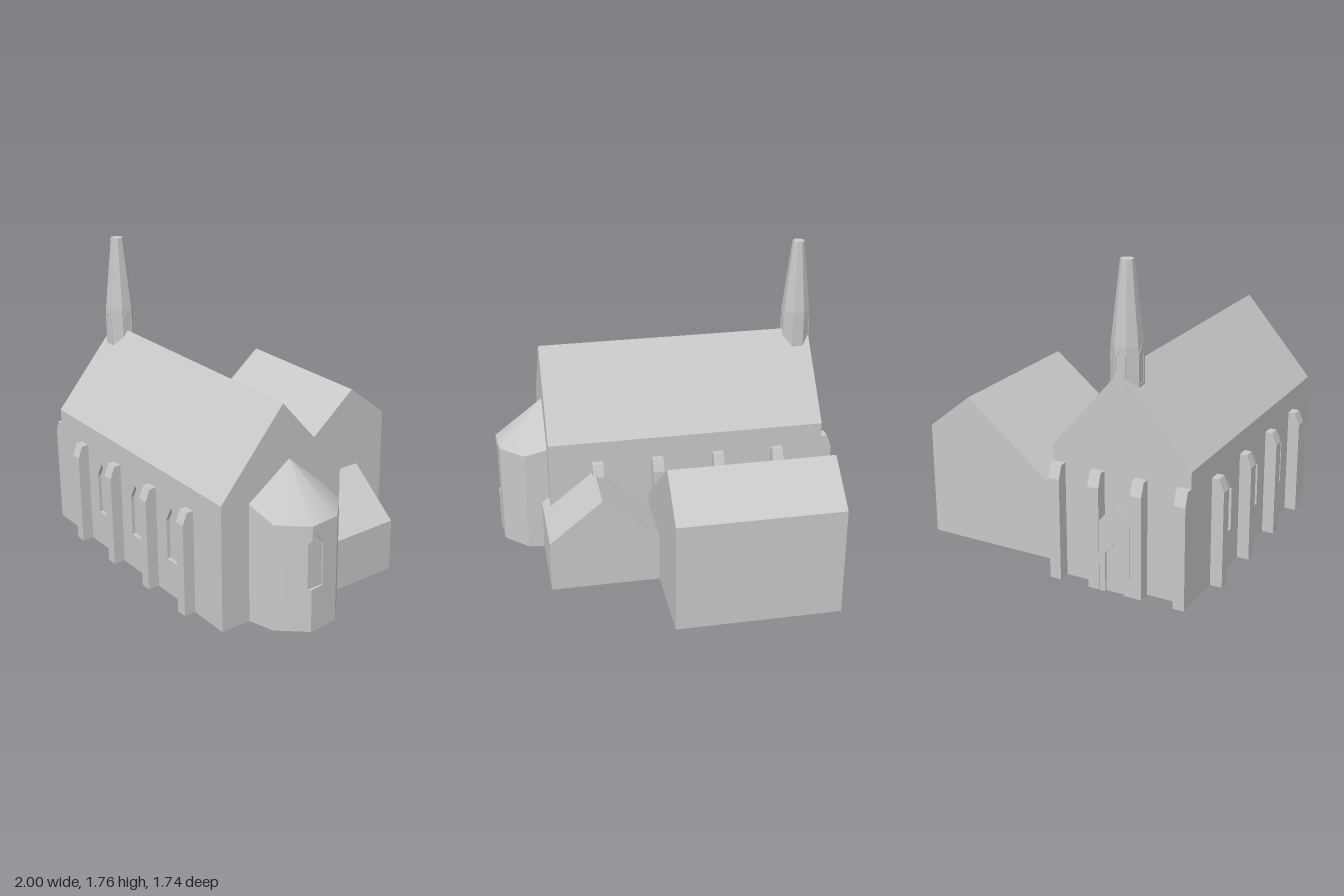
import * as THREE from 'three';
import { toCreasedNormals } from 'three/addons/utils/BufferGeometryUtils.js';

const stone = new THREE.MeshStandardMaterial({ color: 0xc8c8c8 });
stone.name = 'stone grey';

const toShape = (pts) => new THREE.Shape(pts.map(([x, y]) => new THREE.Vector2(x, y)));

// Pointed window outline
const lancet = (cx, w, y0, shoulder, peak) => [
  [cx - w / 2, y0], [cx + w / 2, y0], [cx + w / 2, shoulder], [cx, peak], [cx - w / 2, shoulder],
];

// (x, y) profile run along z
function alongZ(pts, z0, z1, holes = []) {
  const shape = toShape(pts);
  holes.forEach((h) => shape.holes.push(toShape(h)));
  const g = new THREE.ExtrudeGeometry(shape, { depth: z1 - z0, bevelEnabled: false });
  return g.translate(0, 0, z0);
}

// (z, y) profile run along x
function alongX(pts, x0, x1, holes = []) {
  const flip = (list) => list.map(([z, y]) => [-z, y]);
  return alongZ(flip(pts), 0, x1 - x0, holes.map(flip)).rotateY(Math.PI / 2).translate(x0, 0, 0);
}

function fromTriangles(tris) {
  const g = new THREE.BufferGeometry();
  g.setAttribute('position', new THREE.Float32BufferAttribute(tris.flat(2), 3));
  g.computeVertexNormals();
  return g;
}

export function createModel() {
  const model = new THREE.Group();
  model.name = 'church';
  const add = (name, geometry, parent = model) => {
    const m = new THREE.Mesh(geometry, stone);
    m.name = name;
    parent.add(m);
    return m;
  };

  // Nave: solid core with pierced wall skins that form the window recesses
  const skin = 0.02;
  add('naveCore', alongX(
    [[0, 0], [0.8 - skin, 0], [0.8 - skin, 0.74], [0.8, 0.74], [0.4, 1.205], [0, 0.74]],
    -0.93 + skin, 0.715));
  add('naveFrontWall', alongZ(
    [[-0.93 + skin, 0], [0.715, 0], [0.715, 0.74], [-0.93 + skin, 0.74]], 0.8 - skin, 0.8,
    [-0.47, -0.107, 0.253].map((x) => lancet(x, 0.097, 0.217, 0.455, 0.545))));
  add('naveWestWall', alongX(
    [[0, 0], [0.8, 0], [0.8, 0.74], [0.4, 1.205], [0, 0.74]], -0.93, -0.93 + skin,
    [lancet(0.155, 0.097, 0.217, 0.455, 0.545), lancet(0.645, 0.097, 0.217, 0.455, 0.545),
      lancet(0.4, 0.085, 0.66, 0.77, 0.83)]));

  // Buttresses on the long sides and the west end
  function buttress(x, z, turn, low, high) {
    const g = alongZ([[-0.01, 0], [0.068, 0], [0.068, low], [0.04, high], [-0.01, high]], -0.0325, 0.0325);
    const m = add('buttress', g);
    m.position.set(x, 0, z);
    m.rotation.y = turn;
  }
  for (const x of [-0.65, -0.29, 0.075, 0.432]) {
    buttress(x, 0.8, -Math.PI / 2, 0.545, 0.615);
    buttress(x, 0, Math.PI / 2, 0.545, 0.615);
  }
  for (const z of [0.04, 0.274, 0.522, 0.7675]) buttress(-0.93, z, Math.PI, 0.575, 0.65);

  // West portal with a recessed door
  const portalTop = [[0.49, 0.4], [0.4, 0.505], [0.31, 0.4]];
  add('portal', alongX([[0.31, 0], [0.49, 0], ...portalTop], -0.985, -0.925));
  add('portalFace', alongX(
    [[0.31, 0], [0.345, 0], [0.345, 0.22], [0.4, 0.29], [0.455, 0.22], [0.455, 0], [0.49, 0], ...portalTop],
    -1, -0.985));

  // Octagonal spire
  const spire = new THREE.Group();
  spire.name = 'spire';
  spire.position.set(-0.851, 0, 0.4);
  model.add(spire);
  const c = Math.cos(Math.PI / 8);
  const octagon = (rTop, rBottom, y0, y1) =>
    new THREE.CylinderGeometry(rTop / c, rBottom / c, y1 - y0, 8, 1, false, Math.PI / 8)
      .translate(0, (y0 + y1) / 2, 0).toNonIndexed();
  const parts = [['spireBase', octagon(0.078, 0.078, 1.05, 1.33)], ['spireTaper', octagon(0.033, 0.078, 1.33, 1.76)]];
  for (const [name, g] of parts) {
    g.computeVertexNormals();
    add(name, g, spire);
  }
  for (let i = 0; i < 4; i++) {
    const frame = add('spireWindowFrame', alongZ(
      lancet(0, 0.064, 1.115, 1.285, 1.328), 0.076, 0.081,
      [lancet(0, 0.046, 1.13, 1.278, 1.31)]), spire);
    frame.rotation.y = i * Math.PI / 2;
  }

  // Apse: polygonal wall, corner skin with a window notch, fan roof
  const A = [0.715, 0.7, 0.622], B = [0.865, 0.625, 0.58], C = [1, 0.625, 0.43];
  const D = [0.985, 0.625, 0.25], E = [0.85, 0.625, 0.12], F = [0.715, 0.66, 0.108];
  const ring = [A, B, [0.985, 0.625, 0.446], D, E, F];
  const ground = (p) => [p[0], 0, p[2]];
  const walls = [];
  for (let i = 0; i < 5; i++) {
    const p = ring[i], q = ring[i + 1];
    walls.push([ground(p), ground(q), q], [ground(p), q, p]);
    if (i > 0) walls.push([ground(A), ground(q), ground(p)]);
  }
  add('apseWall', toCreasedNormals(fromTriangles(walls), 0.64));
  const eaves = [A, B, C, D, E, F];
  const roof = eaves.slice(1).map((p, i) => [[0.715, 0.885, 0.356], eaves[i], p]);
  add('apseRoof', toCreasedNormals(fromTriangles(roof), 0.8));

  const skins = [
    [[0.25, 0], [0.43, 0], [0.43, 0.255], [0.352, 0.255], [0.352, 0.51], [0.4035, 0.575],
      [0.43, 0.5415], [0.43, 0.625], [0.25, 0.625]],
    [[0.43, 0], [0.446, 0], [0.446, 0.255], [0.43, 0.255]],
    [[0.43, 0.5415], [0.446, 0.5215], [0.446, 0.625], [0.43, 0.625]],
  ];
  for (const pts of skins) {
    const g = alongX(pts, 0.985, 1);
    const pos = g.attributes.position;
    for (let i = 0; i < pos.count; i++) {
      if (pos.getX(i) < 0.99) continue;
      const z = pos.getZ(i);
      pos.setX(i, 0.985 + 0.015 * Math.min((z - 0.25) / 0.18, (0.446 - z) / 0.016));
    }
    g.computeVertexNormals();
    add('apseWindowWall', g);
  }

  // Rear hall and the smaller annex beside it
  add('rearHall', alongX([[-0.87, 0], [0.03, 0], [0.03, 0.346], [-0.61, 0.86], [-0.87, 0.652]], -0.82, 0.127));
  add('annex', alongZ([[0.12, 0], [0.758, 0], [0.758, 0.308], [0.45, 0.557], [0.12, 0.29]], -0.365, 0.11));

  return model;
}
